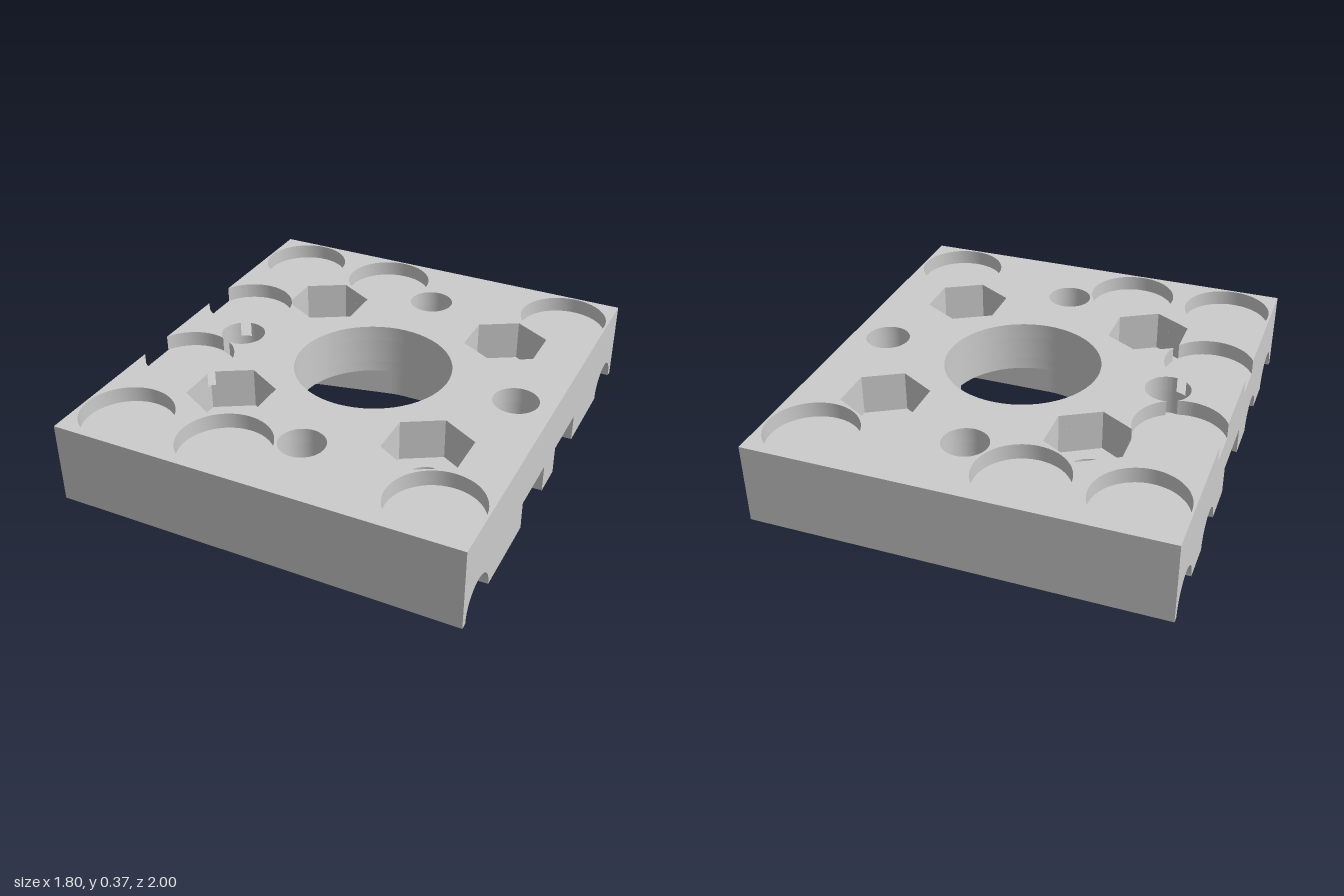
import * as THREE from 'three';
import { toCreasedNormals } from 'three/addons/utils/BufferGeometryUtils.js';

const TOP = 0.365, POCKET = 0.295, NUT = 0.18, CHANNEL = 0.125;
const material = new THREE.MeshStandardMaterial({ color: 0xcccccc });

// Points on an arc in plan coordinates (x, z)
function arc(cx, cz, r, a0, a1, n = 40) {
  return Array.from({ length: n + 1 }, (_, i) => {
    const a = a0 + (a1 - a0) * i / n;
    return [cx + r * Math.cos(a), cz + r * Math.sin(a)];
  });
}
const circle = (x, z, r) => arc(x, z, r, 0, Math.PI * 2, 56).slice(0, -1);
const hexagon = (x, z) => arc(x, z, 0.19, Math.PI / 6, Math.PI * 13 / 6, 6).slice(0, -1);
const flip = (pts) => pts.map(([x, z]) => [x, -z]);
const mirrored = (half) => [...half, ...flip(half).reverse()];
const toVectors = (pts) => pts.map(([x, y]) => new THREE.Vector2(x, y));

function mesh(name, geometry) {
  const m = new THREE.Mesh(toCreasedNormals(geometry, 0.5), material);
  m.name = name;
  return m;
}

// Horizontal slab cut from a plan outline
function slab(name, outline, holes, y0, y1) {
  const shape = new THREE.Shape(toVectors(outline));
  shape.holes = holes.map((h) => new THREE.Path(toVectors(h)));
  const g = new THREE.ExtrudeGeometry(shape, { depth: y1 - y0, bevelEnabled: false });
  return mesh(name, g.rotateX(Math.PI / 2).translate(0, y1, 0));
}

// Bar along x with a half-round groove in its underside
function groovedBar(name, z0, z1, zc, r, x0, x1, side) {
  const profile = [[z0, 0], ...arc(zc, 0, r, Math.PI, 0, 32), [z1, 0], [z1, CHANNEL], [z0, CHANNEL]];
  const shape = new THREE.Shape(toVectors(profile.map(([z, y]) => [-side * z, y])));
  const g = new THREE.ExtrudeGeometry(shape, { depth: x1 - x0, bevelEnabled: false });
  return mesh(name, g.rotateY(Math.PI / 2).translate(x0, 0, 0));
}

export function createModel() {
  const model = new THREE.Group();
  model.name = 'carriagePlate';

  const plate = [[0.9, -1], [-0.9, -1], [-0.9, 1], [0.9, 1]];
  const bore = circle(0.065, 0, 0.35);
  const nuts = [[-0.39, -0.455], [-0.39, 0.455], [0.52, -0.455], [0.52, 0.455]];
  const screws = [[0.065, -0.665], [0.065, 0.665], [0.73, 0], [-0.6, 0]];

  // Top layer: the edge pockets, two nut pockets and a counterbore join in one bay
  const pocketArc = (a0, a1) => arc(-0.72, -0.27, 0.2, a0, a1);
  const boreArc = (a0, a1) => arc(-0.6, 0, 0.1, a0, a1, 24);
  const bay = mirrored([
    [0.9, -1], [-0.9, -1],
    ...pocketArc(-2.691, -0.601),
    [-0.555, -0.55], [-0.39, -0.645], [-0.225, -0.55], [-0.225, -0.36], [-0.39, -0.265],
    ...pocketArc(-0.408, 1.03),
    ...boreArc(-1.742, -0.03),
  ]);
  const roundPockets = [];
  for (const x of [-0.69, -0.22, 0.69])
    for (const z of [-0.79, 0.79]) roundPockets.push(circle(x, z, 0.2));
  model.add(slab('pocketLayer', bay, [
    bore, ...roundPockets,
    ...nuts.slice(2).map(([x, z]) => hexagon(x, z)),
    ...screws.slice(0, 3).map(([x, z]) => circle(x, z, 0.1)),
  ], POCKET, TOP));

  // Small island left between the two edge pockets
  const island = mirrored([...pocketArc(2.691, 1.276), ...boreArc(-2.236, -3.11)]);
  model.add(slab('edgeIsland', island, [], POCKET, TOP));

  // Middle layer: nut pockets and counterbores
  model.add(slab('nutLayer', plate, [
    bore,
    ...nuts.map(([x, z]) => hexagon(x, z)),
    ...screws.map(([x, z]) => circle(x, z, 0.1)),
  ], NUT, POCKET));

  // Channel roof: through holes only
  model.add(slab('channelRoof', plate, [
    bore,
    ...nuts.map(([x, z]) => circle(x, z, 0.1)),
    ...screws.map(([x, z]) => circle(x, z, 0.065)),
  ], CHANNEL, NUT));

  // Underside blocks beside the belt channels, which hug the bore and then taper
  const block = [
    [0.9, 0.73], [0.9, 0.352],
    ...arc(0.065, 0, 0.352, Math.PI / 2, 1.778, 8),
    [-0.9, 0.155], [-0.9, 0.34], [-0.72, 0.34], [-0.72, 0.28], [-0.6, 0.28],
    [-0.6, 0.62], [-0.72, 0.62], [-0.72, 0.56], [-0.9, 0.56], [-0.9, 0.73],
  ];
  const blockHoles = [
    circle(-0.39, 0.455, 0.1), circle(0.52, 0.455, 0.098), circle(0.065, 0.665, 0.062),
  ];
  for (const side of [1, -1]) {
    const place = side > 0 ? (p) => p : flip;
    const label = side > 0 ? 'front' : 'back';
    model.add(slab(label + 'Block', place(block), blockHoles.map(place), 0, CHANNEL));
    model.add(groovedBar(label + 'RodRail', 0.728, 1, 0.85, 0.121, -0.9, 0.9, side));
    model.add(groovedBar(label + 'ScrewGroove', 0.34, 0.56, 0.45, 0.109, -0.9, -0.72, side));
  }

  // Rib between the two channels, ending at the bore
  const rib = [[0.9, -0.075], [0.9, 0.075], ...arc(0.065, 0, 0.35, 0.216, -0.216, 12)];
  model.add(slab('channelRib', rib, [circle(0.73, 0, 0.065)], 0, CHANNEL));

  return model;
}
